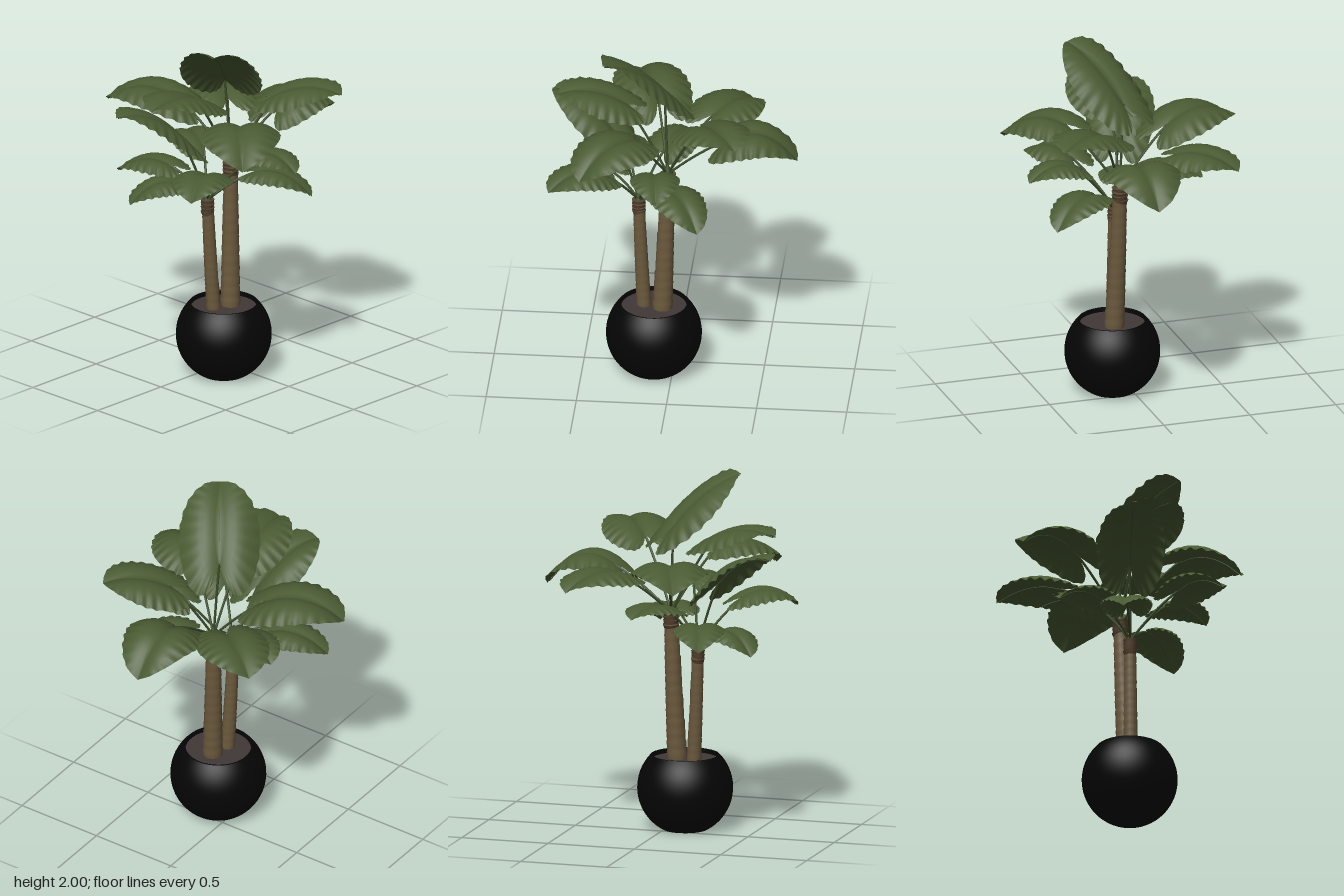
import * as THREE from 'three';

const mat = (name, color, side = THREE.FrontSide) => {
  const m = new THREE.MeshStandardMaterial({ color, side });
  m.name = name;
  return m;
};
const V = (x, y, z) => new THREE.Vector3(x, y, z);

export function createModel() {
  const leafGreen = mat('leafGreen', 0x4a5b33, THREE.DoubleSide);
  const stemGreen = mat('stemGreen', 0x3d4d2b);
  const bark = mat('bark', 0x6a583c);
  const fibre = mat('crownFibre', 0x5a4733);
  const soilBrown = mat('soil', 0x413737);
  const black = mat('potBlack', 0x050506, THREE.DoubleSide);

  const model = new THREE.Group();
  model.name = 'pottedPalm';
  const add = (parent, name, geo, material) => {
    const m = new THREE.Mesh(geo, material);
    m.name = name;
    parent.add(m);
    return m;
  };

  // Pot: a ball cut flat at the top and bottom, with an inner lip
  const R = 0.265, cy = 0.235;
  const outer = [new THREE.Vector2(0, 0)];
  for (let i = 0; i <= 36; i++) {
    const y = 0.42 * i / 36;
    outer.push(new THREE.Vector2(Math.sqrt(R * R - (y - cy) ** 2), y));
  }
  add(model, 'pot', new THREE.LatheGeometry(outer, 56), black).position.set(0.1, 0, 0.105);
  const lip = [[0.19, 0.42], [0.182, 0.42], [0.182, 0.37]].map(p => new THREE.Vector2(...p));
  add(model, 'potLip', new THREE.LatheGeometry(lip, 56), black).position.set(0.1, 0, 0.105);
  add(model, 'soil', new THREE.CylinderGeometry(0.183, 0.183, 0.03, 48), soilBrown).position.set(0.1, 0.38, 0.105);

  // Leaning trunk with leaf-scar rings and a collar of fibre at the top
  function trunk(parent, base, top, r0, r1) {
    const h = top.y - base.y, rings = 14, pts = [];
    for (let i = 0; i < rings; i++) {
      const r = r0 + (r1 - r0) * i / rings;
      pts.push(new THREE.Vector2(r * 0.98, h * i / rings), new THREE.Vector2(r, h * (i + 0.45) / rings),
        new THREE.Vector2(r * 1.02, h * (i + 0.9) / rings));
    }
    pts.push(new THREE.Vector2(r1, h), new THREE.Vector2(0, h));
    const geo = new THREE.LatheGeometry(pts, 20);
    const p = geo.attributes.position;
    for (let i = 0; i < p.count; i++) {
      const t = p.getY(i) / h, s = t + 0.25 * t * (1 - t);
      p.setXYZ(i, base.x + p.getX(i) + (top.x - base.x) * s, base.y + p.getY(i),
        base.z + p.getZ(i) + (top.z - base.z) * s);
    }
    geo.computeVertexNormals();
    add(parent, 'trunk', geo, bark);
    for (let i = 0; i < 4; i++) {
      const ring = add(parent, 'crownFibre', new THREE.CylinderGeometry(r1 * 1.22, r1 * 0.98, 0.026, 14), fibre);
      ring.position.set(top.x, top.y - 0.075 + i * 0.022, top.z);
      ring.rotation.set(0.12 * Math.sin(i * 2.1), i, 0.12 * Math.cos(i * 2.7));
    }
    add(parent, 'crownBud', new THREE.ConeGeometry(r1 * 0.9, 0.08, 12), stemGreen).position.set(top.x, top.y + 0.03, top.z);
  }

  // Half outline of the heart-shaped blade: (along midrib, sideways)
  const outline = new THREE.CatmullRomCurve3([[0, 0], [-0.2, 0.2], [-0.28, 0.48], [-0.16, 0.82], [0.1, 1],
    [0.42, 0.99], [0.71, 0.79], [0.91, 0.41], [1, 0]].map(([a, s]) => V(a, s, 0)));

  // Arched blade on a curved stalk: halves rise from the midrib, then droop to rippled margins
  function leaf(parent, crown, [base, tip, arch, width]) {
    const B = V(...base), T = V(...tip);
    const K = B.clone().add(T).multiplyScalar(0.5).add(V(0, 2 * arch, 0));
    const rib = t => B.clone().multiplyScalar((1 - t) ** 2).addScaledVector(K, 2 * t * (1 - t)).addScaledVector(T, t * t);
    const tangent = t => K.clone().sub(B).multiplyScalar(1 - t).addScaledVector(T.clone().sub(K), t).normalize();
    const side = V(0, 1, 0).cross(T.clone().sub(B)).normalize();

    const rows = 90, cols = 16, pos = [], index = [];
    for (let i = 0; i <= rows; i++) {
      const u = i / rows, e = outline.getPoint(u), m = u ** 1.8;
      const wave = Math.sin(u * Math.PI * 30), fade = Math.sin(u * Math.PI);
      for (let j = 0; j <= cols; j++) {
        const v = (j / cols) * 2 - 1, k = Math.abs(v), s = k * e.y;
        const a = m + (e.x - m) * k;
        const lat = v * e.y * width * (1 + 0.015 * wave * k * k);
        const normal = tangent(a).cross(side).normalize();
        const lift = width * (0.56 * s - 0.76 * s * s) + 0.007 * wave * fade * k ** 5;
        pos.push(...rib(a).addScaledVector(side, lat).addScaledVector(normal, lift).toArray());
        if (i < rows && j < cols) {
          const q = i * (cols + 1) + j, n = q + cols + 1;
          index.push(q, n, q + 1, q + 1, n, n + 1);
        }
      }
    }
    const geo = new THREE.BufferGeometry();
    geo.setAttribute('position', new THREE.Float32BufferAttribute(pos, 3));
    geo.setIndex(index);
    geo.computeVertexNormals();
    add(parent, 'leafBlade', geo, leafGreen);

    const bend = B.clone().lerp(crown, 0.45).add(V(0, 0.04, 0));
    const stalk = new THREE.QuadraticBezierCurve3(crown, bend, B);
    add(parent, 'leafStalk', new THREE.TubeGeometry(stalk, 14, 0.007, 7), stemGreen);
    const ribCurve = new THREE.CatmullRomCurve3([0, 0.25, 0.5, 0.75, 0.97].map(t => rib(t).add(V(0, -0.003, 0))));
    add(parent, 'leafMidrib', new THREE.TubeGeometry(ribCurve, 16, 0.0035, 6), stemGreen);
  }

  // Each leaf: blade base, tip, arch height, half width
  const plants = [
    { name: 'tallPalm', base: V(0.105, 0.38, 0.058), top: V(0.08, 1.22, 0.03), r: [0.055, 0.038], leaves: [
      [[0.11, 1.47, -0.32], [0.09, 1.34, -0.69], 0.095, 0.212],
      [[0.24, 1.61, -0.17], [0.54, 1.63, -0.38], 0.045, 0.205],
      [[-0.17, 1.47, -0.2], [-0.465, 1.41, -0.41], 0.05, 0.195],
      [[-0.22, 1.53, 0.11], [-0.635, 1.47, 0.265], 0.08, 0.21],
      [[0.06, 1.645, 0.27], [0.06, 1.685, 0.64], 0.045, 0.205],
      [[0.34, 1.56, 0.22], [0.605, 1.43, 0.475], 0.07, 0.215],
      [[0.055, 1.71, 0.05], [0.275, 1.985, 0.375], 0.045, 0.22]] },
    { name: 'shortPalm', base: V(0.078, 0.38, 0.162), top: V(0.06, 1.04, 0.192), r: [0.04, 0.032], leaves: [
      [[0.25, 1.295, 0.39], [0.395, 1.24, 0.665], 0.055, 0.16],
      [[0.33, 1.35, 0.08], [0.6, 1.3, 0.05], 0.05, 0.135],
      [[0.26, 1.21, 0], [0.51, 1.08, -0.17], 0.055, 0.145],
      [[-0.16, 1.21, 0.27], [-0.46, 1.12, 0.36], 0.05, 0.14],
      [[-0.1, 1.28, 0.06], [-0.37, 1.26, -0.06], 0.04, 0.14],
      [[-0.04, 1.16, 0.36], [-0.17, 1.05, 0.57], 0.05, 0.14],
      [[-0.01, 1.42, 0.33], [-0.165, 1.6, 0.685], 0.06, 0.185]] }];
  for (const p of plants) {
    const g = new THREE.Group();
    g.name = p.name;
    model.add(g);
    trunk(g, p.base, p.top, ...p.r);
    p.leaves.forEach(l => leaf(g, p.top, l));
  }
  return model;
}
